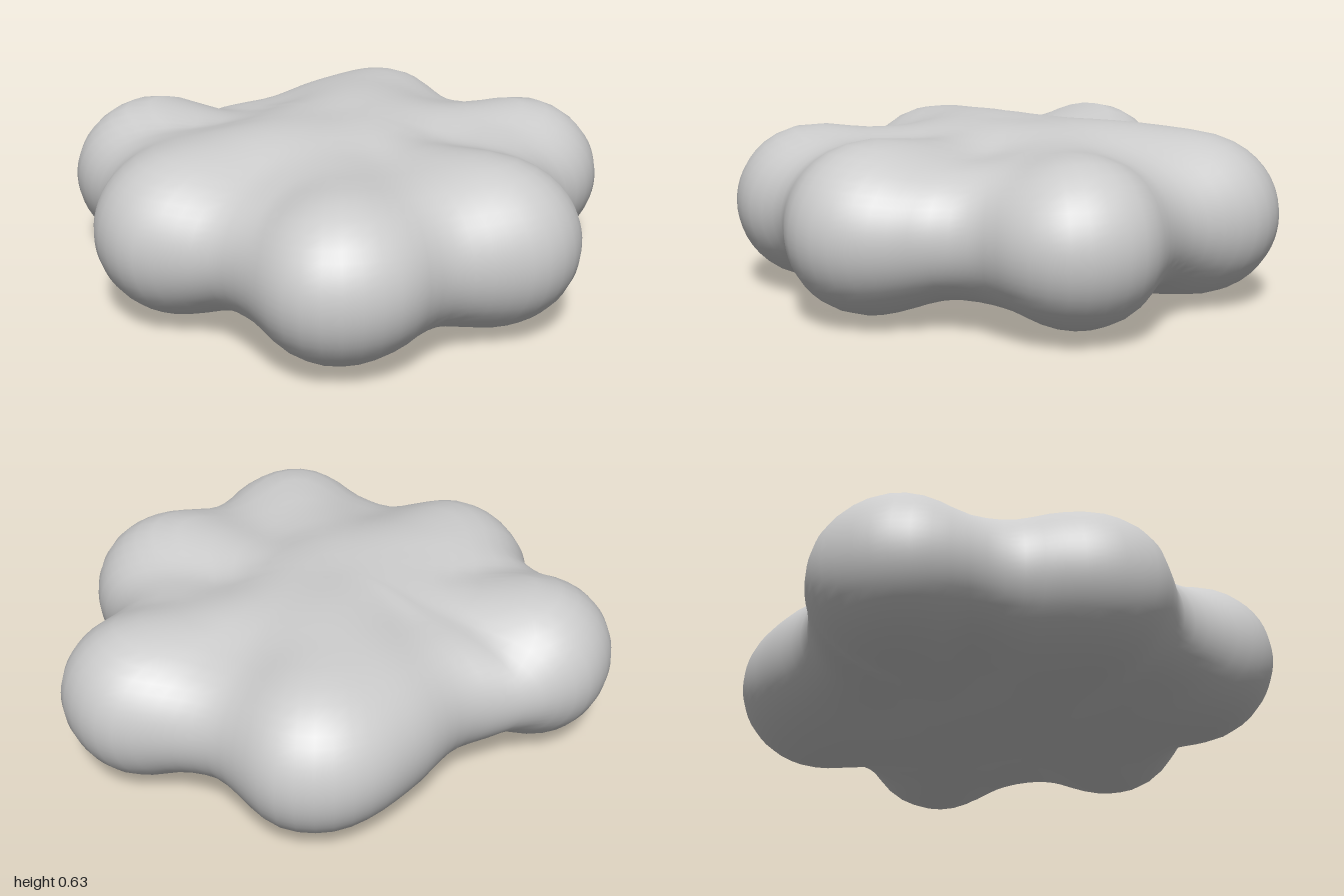
import * as THREE from 'three';

// Main lobes, then the spokes and bridges that fill the valleys: x, z, radius
const LOBES = [
  [-0.2, -0.7, 0.285], [0.62, -0.23, 0.275], [0.6, 0.43, 0.278],
  [-0.08, 0.66, 0.288], [-0.62, 0.45, 0.278], [-0.62, -0.22, 0.275],
  [0.4, -0.34, 0.22], [-0.44, -0.39, 0.22], [-0.35, 0.54, 0.205],
  [0.18, -0.46, 0.2], [-0.1, -0.42, 0.2], [0.27, 0.5, 0.205],
  [0.62, 0.1, 0.17], [-0.63, 0.11, 0.17],
  [0.35, -0.15, 0.26], [-0.35, -0.15, 0.26],
  [0.37, 0.25, 0.235], [-0.39, 0.26, 0.24], [-0.06, 0.42, 0.235],
];

// Plan outline: x, z pairs
const OUTLINE = [
  [-0.2, -1], [-0.07, -0.975], [0.05, -0.885], [0.165, -0.755], [0.28, -0.655],
  [0.55, -0.59], [0.745, -0.515], [0.865, -0.4], [0.917, -0.22], [0.81, 0.07],
  [0.82, 0.19], [0.885, 0.415], [0.86, 0.54], [0.765, 0.67], [0.625, 0.73],
  [0.515, 0.73], [0.395, 0.715], [0.28, 0.77], [0.165, 0.9], [0.045, 0.975],
  [-0.07, 0.998], [-0.19, 0.97], [-0.305, 0.885], [-0.425, 0.785], [-0.515, 0.76],
  [-0.655, 0.75], [-0.795, 0.68], [-0.9, 0.55], [-0.92, 0.415], [-0.845, 0.19],
  [-0.825, 0.07], [-0.885, -0.095], [-0.92, -0.215], [-0.875, -0.38],
  [-0.765, -0.5], [-0.65, -0.56], [-0.585, -0.625], [-0.53, -0.755],
  [-0.485, -0.855], [-0.415, -0.935], [-0.315, -0.985],
];

const BLEND = 0.06;

// Smooth union of the lobes and a rounded central core
function field(x, y, z) {
  const q = Math.max(Math.hypot(x / 1.4, z + 0.02) - 0.1, 0);
  let sum = Math.exp(-(Math.hypot(q, y) - 0.302) / BLEND);
  for (const [cx, cz, r] of LOBES) {
    sum += Math.exp(-(Math.hypot(x - cx, y, z - cz) - r) / BLEND);
  }
  return -BLEND * Math.log(sum);
}

// Distance from the centre to the surface along a direction
function reach(dx, dy, dz) {
  let lo = 0, hi = 4;
  for (let k = 0; k < 30; k++) {
    const t = (lo + hi) / 2;
    if (field(dx * t, dy * t, dz * t) < 0) lo = t; else hi = t;
  }
  return lo;
}

function blobGeometry(columns, rows) {
  const curve = new THREE.CatmullRomCurve3(
    OUTLINE.map(([x, z]) => new THREE.Vector3(x, 0, z)), true);
  const rim = curve.getSpacedPoints(columns).slice(0, columns);
  const pole = reach(0, 1, 0);
  const positions = [0, -pole, 0];

  // Rings from bottom to top, each fitted to the plan outline at the rim
  for (let i = 1; i < rows; i++) {
    const lat = (i / rows - 0.5) * Math.PI;
    for (const p of rim) {
      const r = p.length(), ux = p.x / r, uz = p.z / r;
      const c = Math.cos(lat), s = 0.33 * Math.sin(lat);
      const equator = reach(ux, 0, uz);
      const t = reach(ux * c, s, uz * c);
      const rho = t * c;
      const fit = 1 + (r / equator - 1) * THREE.MathUtils.smoothstep(rho / equator, 0, 1);
      positions.push(ux * rho * fit, s * t, uz * rho * fit);
    }
  }
  positions.push(0, pole, 0);

  const last = 1 + (rows - 1) * columns;
  const id = (i, j) => i === 0 ? 0 : i === rows ? last : 1 + (i - 1) * columns + j % columns;
  const index = [];
  for (let i = 0; i < rows; i++) {
    for (let j = 0; j < columns; j++) {
      const a = id(i, j), b = id(i, j + 1), c = id(i + 1, j), d = id(i + 1, j + 1);
      if (i > 0) index.push(a, c, b);
      if (i < rows - 1) index.push(c, d, b);
    }
  }
  const geometry = new THREE.BufferGeometry();
  geometry.setAttribute('position', new THREE.Float32BufferAttribute(positions, 3));
  geometry.setIndex(index);
  geometry.computeVertexNormals();
  // Rest the body on the ground
  geometry.computeBoundingBox();
  geometry.translate(0, -geometry.boundingBox.min.y, 0);
  return geometry;
}

export function createModel() {
  const group = new THREE.Group();
  group.name = 'cloud';
  const body = new THREE.Mesh(
    blobGeometry(96, 36), new THREE.MeshStandardMaterial({ color: 0xcccccc }));
  body.name = 'cloudBody';
  group.add(body);
  return group;
}
